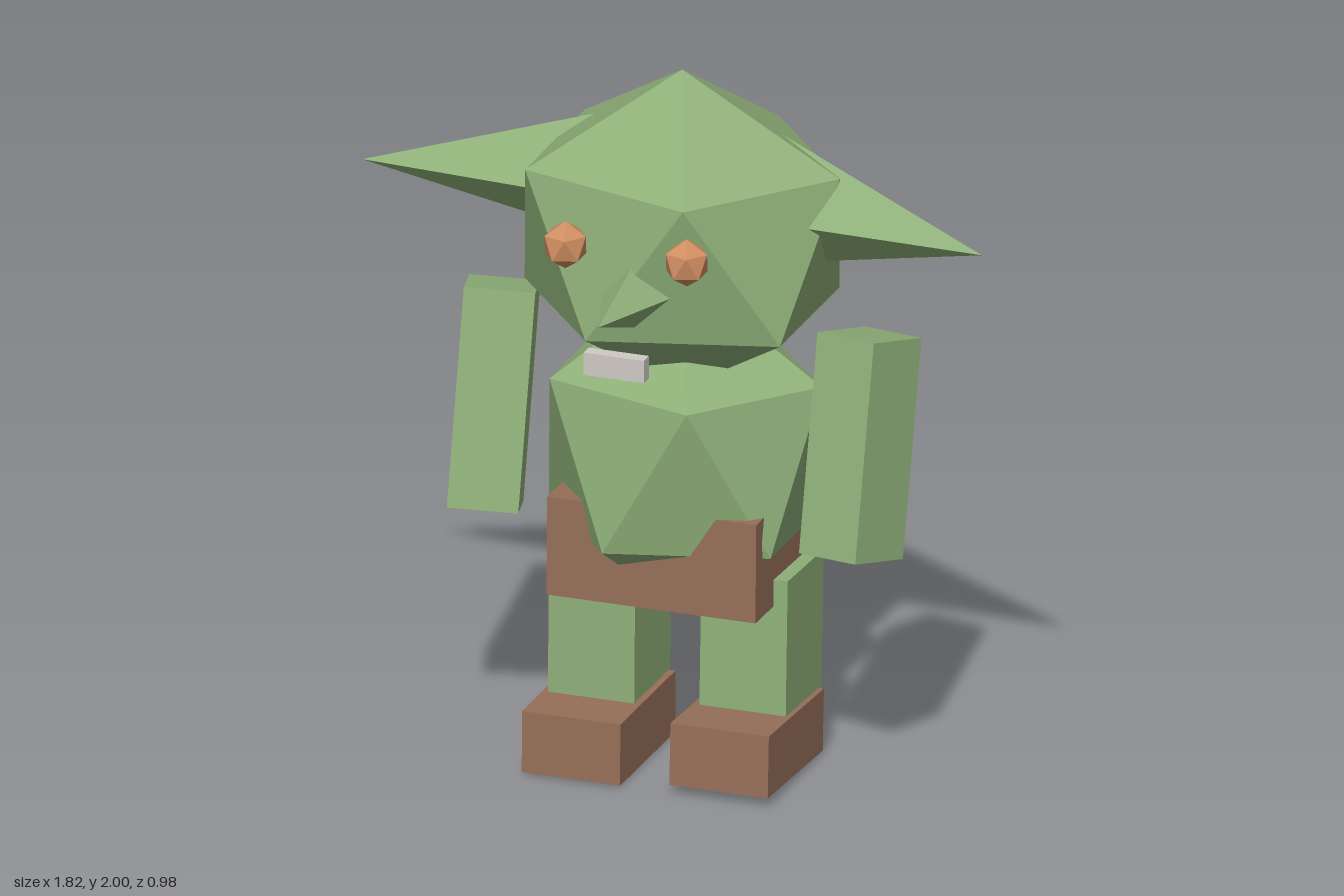
import * as THREE from 'three';

export function createModel() {
  const model = new THREE.Group();
  const mat = (name, color) => Object.assign(new THREE.MeshStandardMaterial({ color }), { name });
  const green = mat('green skin', 0x8fb079);
  const brown = mat('brown leather', 0x966f58);
  const amber = mat('amber eyes', 0xd08e62);
  const pale = mat('pale teeth', 0xd0cac5);

  // Adds a faceted mesh
  const add = (name, geometry, material, pos, rot = [0, 0, 0]) => {
    const flat = geometry.index ? geometry.toNonIndexed() : geometry;
    flat.computeVertexNormals();
    const mesh = new THREE.Mesh(flat, material);
    mesh.name = name;
    mesh.position.set(...pos);
    mesh.rotation.set(...rot);
    model.add(mesh);
    return mesh;
  };
  const box = (name, size, material, pos, rot) =>
    add(name, new THREE.BoxGeometry(...size), material, pos, rot);

  // Twenty-sided ball standing on a corner, with an upper-ring corner at +x
  const ball = (name, [rx, ry, rz], material, pos) => {
    const g = new THREE.IcosahedronGeometry(1, 0);
    g.rotateZ(Math.atan2(2, 1 + Math.sqrt(5)));
    g.rotateY(Math.PI);
    g.scale(rx, ry, rz);
    return add(name, g, material, pos);
  };

  // Four-sided spike along +x whose tip is the mesh origin
  const spike = (name, radius, length, tip, yaw) => {
    const g = new THREE.ConeGeometry(radius, length, 4);
    g.translate(0, -length / 2, 0);
    g.rotateZ(-Math.PI / 2);
    return add(name, g, green, tip, [0, yaw, 0]);
  };

  // Body and head
  ball('body', [0.442, 0.49, 0.378], green, [0, 0.9, -0.14]);
  ball('head', [0.51, 0.465, 0.442], green, [0, 1.538, -0.115]);

  // Ears and nose
  spike('leftEar', 0.19, 0.69, [0.91, 1.63, 0], -0.297);
  spike('rightEar', 0.19, 0.69, [-0.91, 1.63, -0.07], Math.PI + 0.192);
  spike('nose', 0.1, 0.27, [-0.02, 1.472, 0.487], -Math.PI / 2 - 0.04);

  // Eyes and mouth
  ball('leftEye', [0.066, 0.069, 0.066], amber, [0.165, 1.615, 0.295]);
  ball('rightEye', [0.066, 0.069, 0.066], amber, [-0.19, 1.615, 0.285]);
  box('mouth', [0.175, 0.065, 0.04], pale, [-0.017, 1.312, 0.355]);

  // Arms, swung forward at the hand and turned outward
  box('leftArm', [0.195, 0.61, 0.21], green, [0.533, 0.995, -0.067], [-0.24, -0.32, 0]);
  box('rightArm', [0.195, 0.61, 0.21], green, [-0.535, 0.99, -0.085], [-0.22, 0.28, 0]);

  // Loincloth
  box('loincloth', [0.605, 0.285, 0.5], brown, [-0.003, 0.65, -0.132], [-0.02, 0, 0]);

  // Legs and shoes
  box('leftLeg', [0.25, 0.575, 0.28], green, [0.215, 0.294, -0.15], [-0.04, 0, 0]);
  box('rightLeg', [0.25, 0.57, 0.28], green, [-0.215, 0.289, -0.125], [-0.02, 0, 0]);
  box('leftShoe', [0.285, 0.178, 0.43], brown, [0.213, 0.107, -0.043], [-0.05, 0, 0]);
  box('rightShoe', [0.285, 0.178, 0.43], brown, [-0.213, 0.095, -0.036], [-0.01, 0, 0]);

  return model;
}
